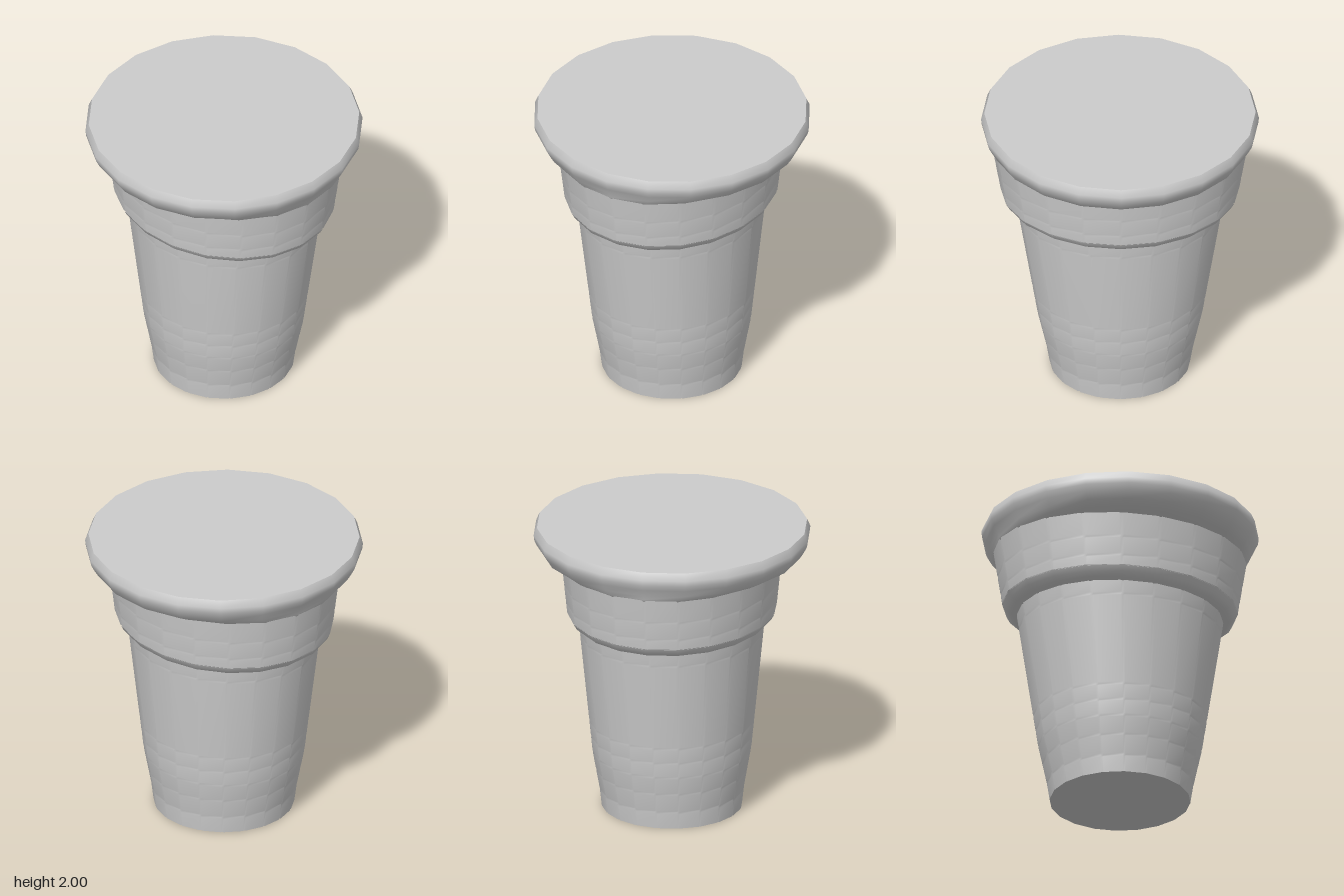
import * as THREE from 'three';

const SIDES = 20;
const GROOVE = 0.008;
const material = new THREE.MeshStandardMaterial({ color: 0xcccccc });

// Radii [rx, rz] at height y along a profile of [y, rx, rz] points
function radiiAt(profile, y) {
  let i = 0;
  while (i < profile.length - 2 && y > profile[i + 1][0]) i++;
  const [a, b] = [profile[i], profile[i + 1]];
  const t = (y - a[0]) / (b[0] - a[0]);
  return [a[1] + (b[1] - a[1]) * t, a[2] + (b[2] - a[2]) * t];
}

// Skin of elliptical 20-sided rings from bottom to top, with waffle grooves at
// the given heights and, if waffled, down each corner of the polygon
function skin(name, profile, lines = [], waffled = false) {
  const e = 0.012;
  const rings = profile
    .filter(p => !lines.some(y => Math.abs(y - p[0]) < 2 * e))
    .map(p => ({ y: p[0], depth: 0 }));
  for (const y of lines) {
    rings.push({ y: y - e, depth: 0 }, { y, depth: GROOVE }, { y: y + e, depth: 0 });
  }
  rings.sort((a, b) => a.y - b.y);

  const stops = waffled ? [0, 0.06, 0.94] : [0];
  const cols = SIDES * stops.length;
  const pos = [], radial = [], index = [];
  rings.forEach(({ y, depth }, j) => {
    const [rx, rz] = radiiAt(profile, y);
    const [lowX] = radiiAt(profile, rings[Math.max(j - 1, 0)].y);
    const [highX] = radiiAt(profile, rings[Math.min(j + 1, rings.length - 1)].y);
    const dy = rings[Math.min(j + 1, rings.length - 1)].y - rings[Math.max(j - 1, 0)].y;
    for (let i = 0; i < cols; i++) {
      const k = Math.floor(i / stops.length), t = stops[i % stops.length];
      const a = k * Math.PI * 2 / SIDES, b = (k + 1) * Math.PI * 2 / SIDES;
      const s = Math.sin(a) * (1 - t) + Math.sin(b) * t;
      const c = Math.cos(a) * (1 - t) + Math.cos(b) * t;
      const d = Math.max(depth, waffled && t === 0 ? GROOVE : 0);
      pos.push(s * (rx - d), y, c * (rz - d));
      radial.push(new THREE.Vector3(s / rx, (lowX - highX) / dy / rx, c / rz).normalize());
    }
  });
  for (let j = 0; j < rings.length - 1; j++) {
    for (let i = 0; i < cols; i++) {
      const n = (i + 1) % cols;
      const p = j * cols + i, q = j * cols + n;
      index.push(p, q, q + cols, p, q + cols, p + cols);
    }
  }
  const geo = new THREE.BufferGeometry();
  geo.setAttribute('position', new THREE.Float32BufferAttribute(pos, 3));
  geo.setIndex(index);
  geo.computeVertexNormals();

  // Blend with the round normal so the wall shades smoothly between corners
  if (waffled) {
    const normals = geo.attributes.normal, v = new THREE.Vector3();
    radial.forEach((r, i) => {
      v.fromBufferAttribute(normals, i).addScaledVector(r, 1.5).normalize();
      normals.setXYZ(i, v.x, v.y, v.z);
    });
  }
  const mesh = new THREE.Mesh(geo, material);
  mesh.name = name;
  return mesh;
}

// Flat 20-sided lid facing up (+1) or down (-1)
function disc(name, radius, y, facing) {
  const mesh = new THREE.Mesh(new THREE.CircleGeometry(radius, SIDES), material);
  mesh.rotation.x = -facing * Math.PI / 2;
  mesh.position.y = y;
  mesh.name = name;
  return mesh;
}

export function createModel() {
  const group = new THREE.Group();
  group.name = 'waferCup';

  // Tapered lower cup: round at the base, oval towards the top
  group.add(skin('lowerCup', [
    [0, 0.47, 0.47], [0.12, 0.483, 0.49], [0.39, 0.53, 0.55], [1.335, 0.62, 0.7],
  ], [0.12, 0.26, 0.39, 0.5, 0.61, 1.24], true));
  group.add(disc('base', 0.47, 0, -1));

  // Rounded step between the lower cup and the wider collar
  group.add(skin('step', [
    [1.33, 0.615, 0.695], [1.345, 0.65, 0.745], [1.37, 0.677, 0.778], [1.41, 0.698, 0.8],
  ]));

  // Waffled collar
  group.add(skin('collar', [
    [1.405, 0.696, 0.798], [1.79, 0.733, 0.862],
  ], [1.48, 1.61], true));

  // Rolled rim, round on the outside and meeting the oval collar underneath
  group.add(skin('rim', [
    [1.772, 0.725, 0.855], [1.79, 0.795, 0.865], [1.82, 0.868, 0.872],
    [1.87, 0.9, 0.9], [1.91, 0.92, 0.92], [1.95, 0.925, 0.925], [2, 0.903, 0.903],
  ]));
  group.add(disc('top', 0.903, 2, 1));

  return group;
}
